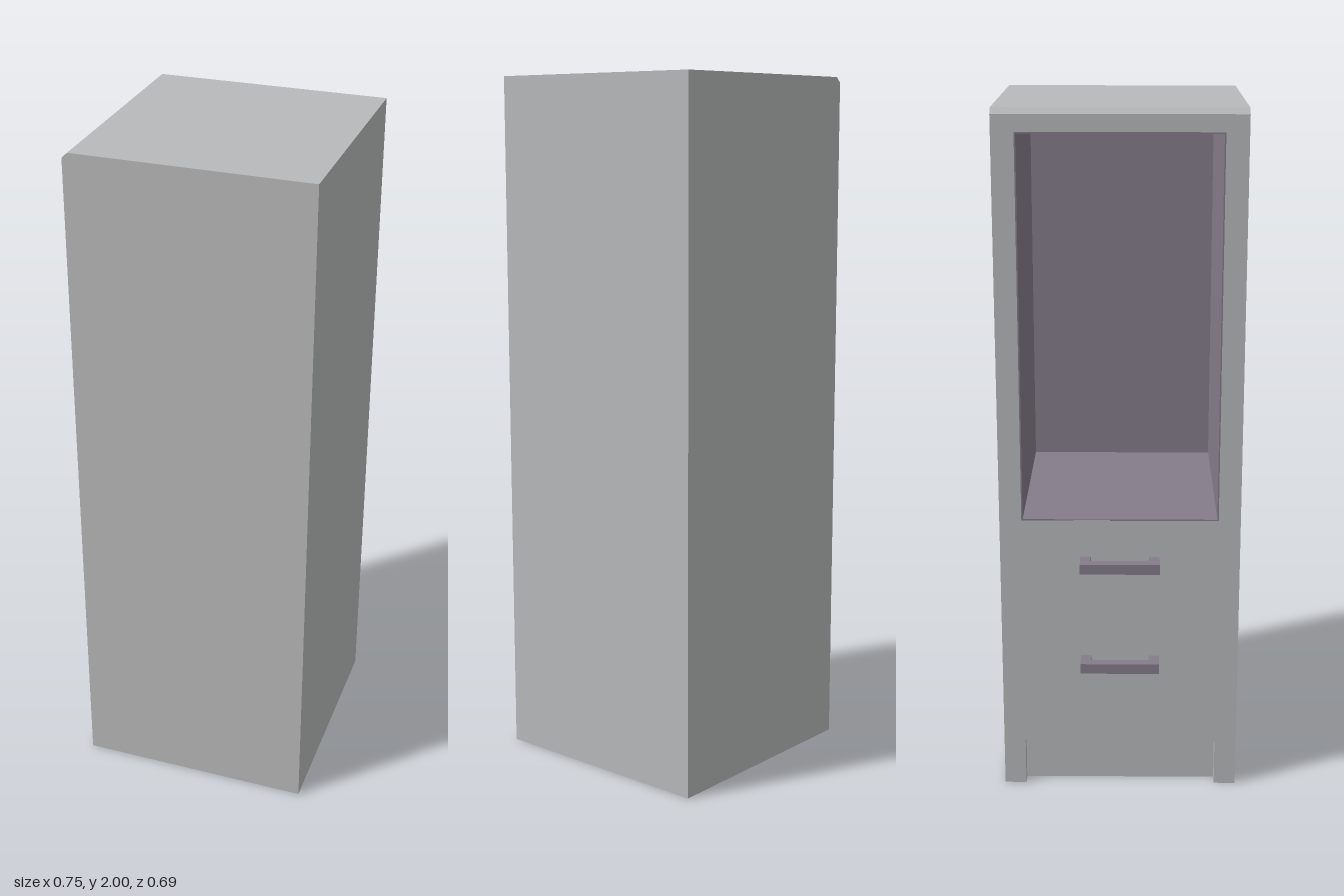
import * as THREE from 'three';

export function createModel() {
  const root = new THREE.Group();
  const grey = new THREE.MeshStandardMaterial({ color: 0xb8b9ba });
  grey.name = 'light grey';
  const mauve = new THREE.MeshStandardMaterial({ color: 0x857d8a });
  mauve.name = 'mauve grey';

  // Cabinet limits: the open side faces -x
  const X0 = -0.313, X1 = 0.375, H = 2, Z = 0.345;
  const wall = 0.063, inner = Z - wall;
  const shelfY = 0.84, kickY = 0.14, kickDepth = 0.036, chamfer = 0.016;

  // Box given by its limits on each axis
  function box(name, mat, x0, x1, y0, y1, z0, z1, parent = root) {
    const mesh = new THREE.Mesh(new THREE.BoxGeometry(x1 - x0, y1 - y0, z1 - z0), mat);
    mesh.position.set((x0 + x1) / 2, (y0 + y1) / 2, (z0 + z1) / 2);
    mesh.name = name;
    parent.add(mesh);
    return mesh;
  }

  // Panel with a bevelled upper edge on the open side, extruded along z
  function bevelled(name, y0, z0, z1) {
    const shape = new THREE.Shape([
      [X0, y0], [X1, y0], [X1, H], [X0 + chamfer, H], [X0, H - chamfer],
    ].map(([x, y]) => new THREE.Vector2(x, y)));
    const geo = new THREE.ExtrudeGeometry(shape, { depth: z1 - z0, bevelEnabled: false });
    const mesh = new THREE.Mesh(geo, grey);
    mesh.position.z = z0;
    mesh.name = name;
    root.add(mesh);
  }

  // Carcass
  bevelled('leftSidePanel', 0, inner, Z);
  bevelled('rightSidePanel', 0, -Z, -inner);
  bevelled('topPanel', H - wall, -inner, inner);
  box('rearPanel', grey, X1 - wall, X1, shelfY, H - wall, -inner, inner);
  box('drawerBlock', grey, X0, X1, kickY, shelfY, -inner, inner);
  box('toeKick', grey, X0 + kickDepth, X1, 0, kickY, -inner, inner);

  // Coloured lining of the open niche
  const t = 0.004, nx0 = X0 + 0.001, nx1 = X1 - wall, top = H - wall;
  const lining = new THREE.Group();
  lining.name = 'nicheLining';
  root.add(lining);
  box('nicheFloor', mauve, nx0, nx1, shelfY, shelfY + t, -inner, inner, lining);
  box('nicheCeiling', mauve, nx0, nx1, top - t, top, -inner, inner, lining);
  box('nicheBack', mauve, nx1 - t, nx1, shelfY, top, -inner, inner, lining);
  for (const s of [-1, 1]) {
    const a = s * inner, b = s * (inner - t);
    box('nicheSide', mauve, nx0, nx1, shelfY, top, Math.min(a, b), Math.max(a, b), lining);
  }

  // Drawer pulls: a grip bar on two arms
  const bar = 0.03, half = 0.114;
  for (const y of [0.39, 0.7]) {
    const handle = new THREE.Group();
    handle.name = 'drawerHandle';
    root.add(handle);
    box('grip', mauve, -0.375, -0.375 + bar, y, y + bar, -half, half, handle);
    box('arm', mauve, -0.375 + bar, X0, y, y + bar, half - bar, half, handle);
    box('arm', mauve, -0.375 + bar, X0, y, y + bar, -half, bar - half, handle);
  }
  return root;
}
